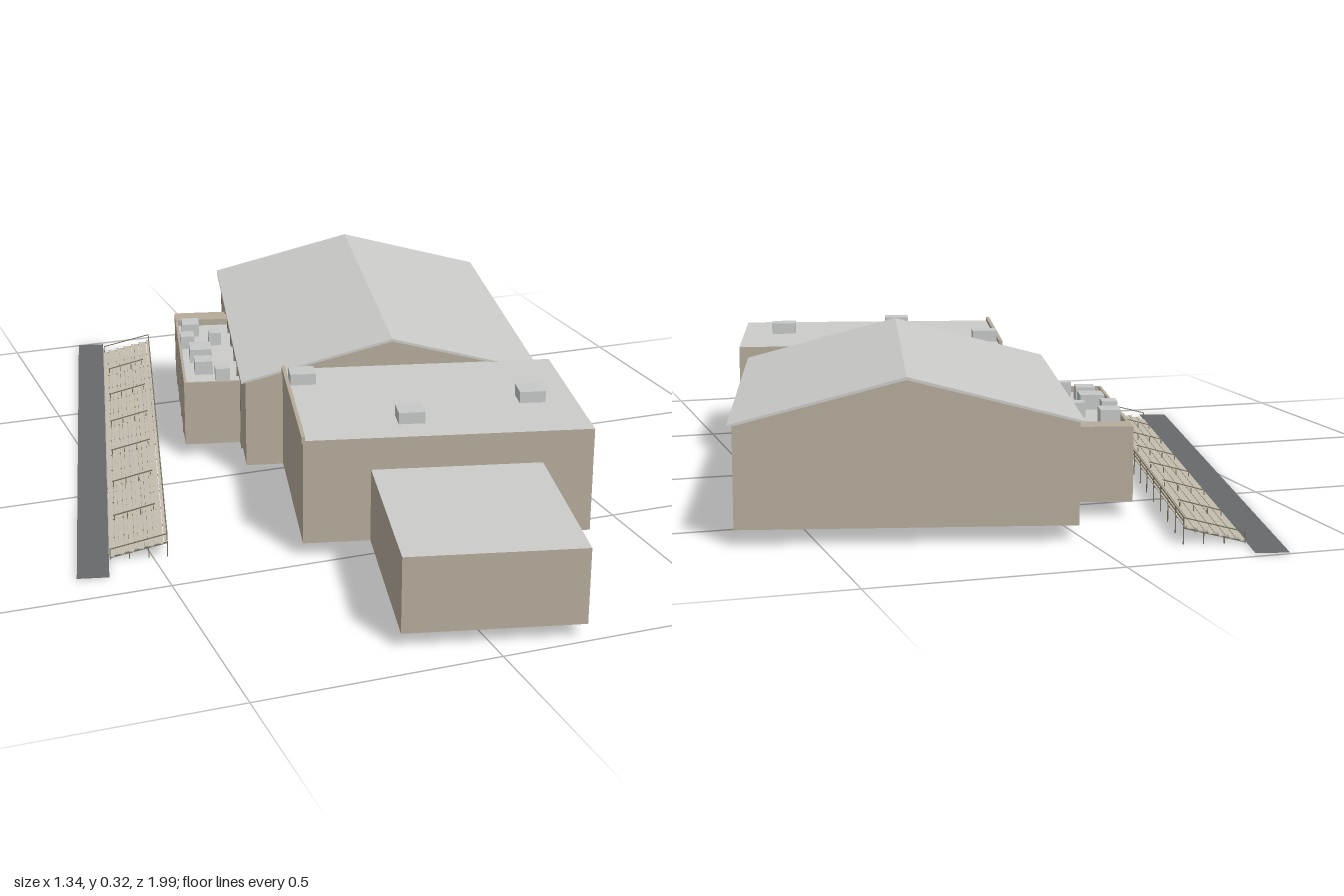
import * as THREE from 'three';

const mat = (name, color, side = THREE.FrontSide) => {
  const m = new THREE.MeshStandardMaterial({ color, side });
  m.name = name;
  return m;
};

export function createModel() {
  const wall = mat('beige wall', 0xb5ab9a);
  const trim = mat('dark trim', 0x7d766a);
  const roof = mat('light grey roof', 0xcbcbc9);
  const unit = mat('roof unit grey', 0xc6c8c8);
  const asphalt = mat('track asphalt', 0x67696a, THREE.DoubleSide);
  const plank = mat('bleacher plank', 0xc2bcad);
  const frame = mat('bleacher frame', 0x77725f);

  const model = new THREE.Group();
  model.name = 'schoolSportsComplex';
  const site = new THREE.Group();
  site.name = 'site';
  site.rotation.y = -0.24;
  model.add(site);

  const add = (name, geometry, material) => {
    const mesh = new THREE.Mesh(geometry, material);
    mesh.name = name;
    site.add(mesh);
    return mesh;
  };
  // Box given by its two extremes on each axis
  const box = (name, x0, x1, y0, y1, z0, z1, material) => {
    const mesh = add(name, new THREE.BoxGeometry(x1 - x0, y1 - y0, z1 - z0), material);
    mesh.position.set((x0 + x1) / 2, (y0 + y1) / 2, (z0 + z1) / 2);
    return mesh;
  };
  // Cross-section in x and y, drawn out along z
  const extrude = (name, points, z0, z1, material) => {
    const shape = new THREE.Shape(points.map(([x, y]) => new THREE.Vector2(x, y)));
    const geometry = new THREE.ExtrudeGeometry(shape, { depth: z1 - z0, bevelEnabled: false });
    return add(name, geometry.translate(0, 0, z0), material);
  };
  const roofed = [wall, wall, roof, wall, wall, wall];
  const base = 0.032;

  // Gymnasium: hollow shell with gable ends and a pitched roof
  const mid = 0.157, eave = 0.235, ridge = 0.322, L = -0.184, R = 0.498;
  const gable = [[L + 0.01, base], [R - 0.01, base], [R - 0.01, eave - 0.002], [mid, ridge - 0.003], [L + 0.01, eave - 0.002]];
  extrude('gymBackGable', gable, -0.775, -0.767, wall);
  extrude('gymFrontGable', gable, 0.064, 0.072, wall);
  box('gymLeftWall', L + 0.01, L + 0.018, base, eave, -0.767, 0.064, wall);
  box('gymRightWall', R - 0.018, R - 0.01, base, eave, -0.767, 0.064, wall);
  extrude('gymRoof', [[L, eave - 0.004], [mid, ridge - 0.003], [R, eave - 0.004],
    [R, eave + 0.001], [mid, ridge + 0.003], [L, eave + 0.001]], -0.78, 0.077, roof);
  for (let i = 1; i < 8; i++) {
    const z = -0.775 + i * 0.106;
    box('gymRightPilaster', R - 0.011, R - 0.005, base, eave - 0.003, z - 0.003, z + 0.003, trim);
    box('gymLeftPilaster', L + 0.005, L + 0.011, base, eave - 0.003, z - 0.003, z + 0.003, trim);
  }

  // Middle hall with a low parapet on its left edge and roof units
  box('middleHall', -0.09, 0.518, base, 0.261, 0.0715, 0.503, roofed);
  box('middleParapet', -0.093, -0.085, 0.255, 0.27, 0.075, 0.503, wall);
  for (const [x, z] of [[-0.055, 0.152], [0.146, 0.407], [0.422, 0.314]])
    box('hallRoofUnit', x - 0.028, x + 0.028, 0.258, 0.286, z - 0.026, z + 0.026, unit);

  // Front annex
  box('frontAnnex', 0.051, 0.411, base, 0.191, 0.5, 0.921, roofed);

  // Side plant block: recessed roof, parapet and machines
  box('plantBlock', -0.304, L + 0.011, base, 0.172, -0.525, -0.071, roofed);
  box('plantEndBlock', -0.306, L + 0.011, base, 0.187, -0.578, -0.52, wall);
  box('plantParapet', -0.306, -0.3, base, 0.185, -0.52, -0.069, wall);
  box('plantFrontParapet', -0.3, L + 0.011, base, 0.185, -0.075, -0.069, wall);
  for (let i = 0; i < 4; i++) {
    const z = -0.475 + i * 0.11;
    box('plantJoint', -0.308, -0.305, base, 0.184, z - 0.002, z + 0.002, trim);
  }
  const machines = [[-0.272, -0.458, 0.042, 0.05], [-0.284, -0.363, 0.033, 0.042], [-0.216, -0.379, 0.03, 0.033],
    [-0.257, -0.272, 0.052, 0.06], [-0.255, -0.179, 0.042, 0.046], [-0.214, -0.117, 0.034, 0.028]];
  for (const [x, z, w, d] of machines)
    box('plantMachine', x - w / 2, x + w / 2, 0.17, 0.204, z - d / 2, z + d / 2, unit);

  // Running track strip
  const track = add('trackStrip', new THREE.PlaneGeometry(0.066, 1.449).rotateX(-Math.PI / 2), asphalt);
  track.position.set(-0.525, 0.002, -0.168);

  // Bleachers: stepped footboards and seats rising towards the buildings
  const rows = 6, bx0 = -0.49, bx1 = -0.369, z0 = -0.811, z1 = 0.468;
  const step = (bx1 - bx0) / rows;
  for (let i = 0; i < rows; i++) {
    const x = bx0 + i * step, y = 0.005 + i * 0.005;
    box('footboard', x, x + step * 0.56, y, y + 0.002, z0, z1, plank);
    box('seat', x + step * 0.62, x + step * 0.97, y + 0.006, y + 0.008, z0, z1, plank);
  }
  // Sloping frames with legs, and a rail along the top
  for (let i = 0; i <= 14; i++) {
    const z = z0 + 0.002 + i * (z1 - z0 - 0.004) / 14;
    extrude('bleacherFrame', [[bx0, 0.002], [bx1, 0.031], [bx1, 0.034], [bx0, 0.005]], z - 0.0015, z + 0.0015, frame);
    for (const x of [bx0 + 0.04, bx0 + 0.08])
      box('bleacherLeg', x, x + 0.002, 0, 0.005 + (x - bx0) * 0.22, z - 0.001, z + 0.001, frame);
    box('railPost', bx1 - 0.002, bx1, 0, 0.054, z - 0.001, z + 0.001, frame);
  }
  for (const y of [0.045, 0.053])
    box('backRail', bx1 - 0.002, bx1, y - 0.001, y + 0.001, z0, z1, frame);
  // Aisles with handrails
  for (let i = 0; i < 6; i++) {
    const z = -0.632 + i * 0.186;
    extrude('aisleRail', [[bx0 + 0.01, 0.022], [bx1 - 0.02, 0.046], [bx1 - 0.02, 0.048], [bx0 + 0.01, 0.024]],
      z - 0.0015, z + 0.0015, frame);
    for (let k = 0; k < 4; k++) {
      const x = bx0 + 0.012 + k * 0.028;
      box('aisleRailPost', x, x + 0.002, 0.004 + k * 0.006, 0.022 + k * 0.0066, z - 0.001, z + 0.001, frame);
    }
  }
  // End guard rails
  for (const z of [z0, z1]) {
    extrude('endRail', [[bx0, 0.022], [bx1, 0.052], [bx1, 0.054], [bx0, 0.024]], z - 0.001, z + 0.001, frame);
    box('endRailPost', bx0, bx0 + 0.002, 0, 0.023, z - 0.001, z + 0.001, frame);
  }
  return model;
}
